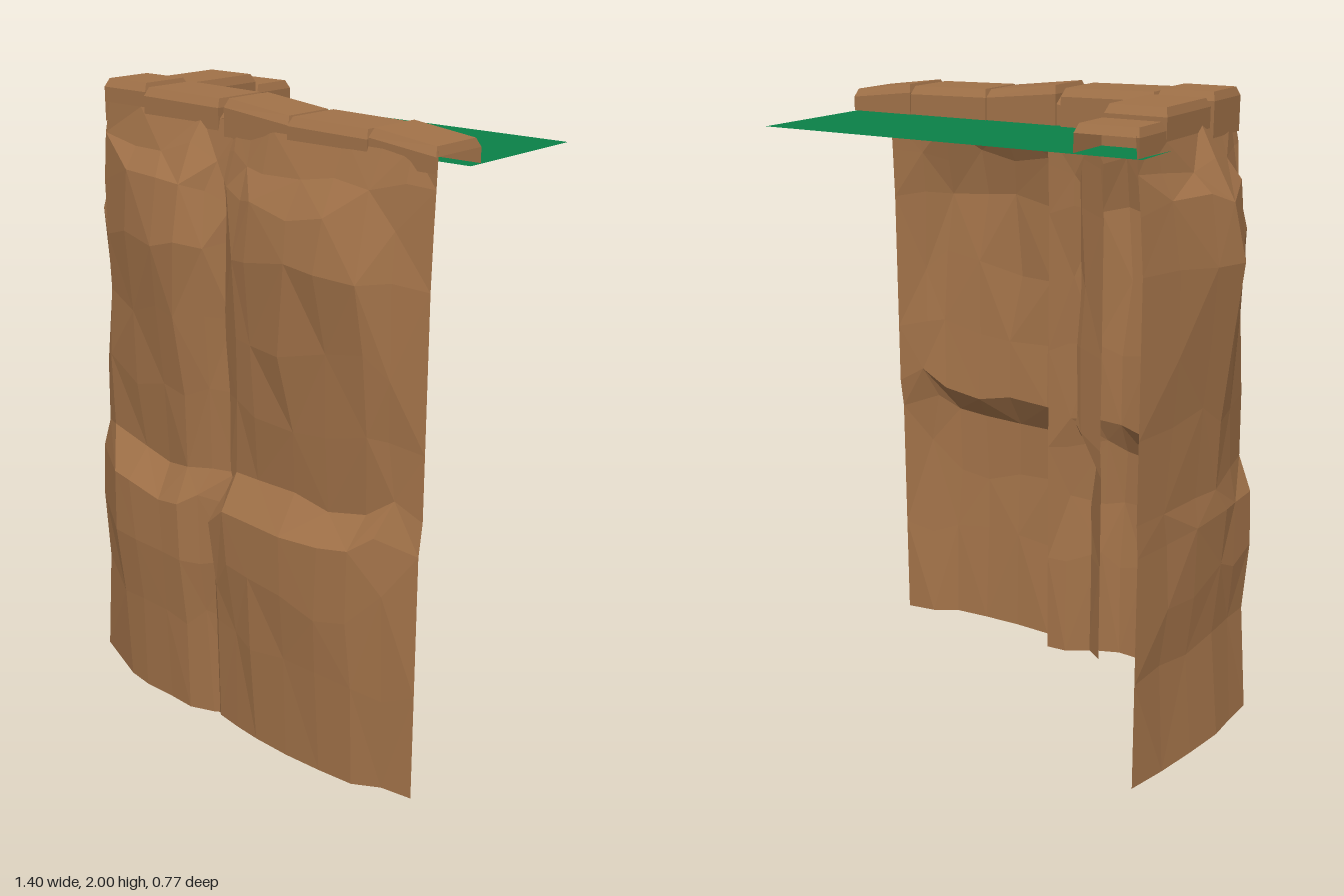
import * as THREE from 'three';

const rock = new THREE.MeshStandardMaterial({ color: 0xa07148, flatShading: true, side: THREE.DoubleSide });
rock.name = 'brown rock';
const grass = new THREE.MeshStandardMaterial({ color: 0x0a8048, side: THREE.DoubleSide });
grass.name = 'green grass';

// Columns of the rock sheets:
// foot x, z | neck x, z | rim x, z | ledge height | upper bulge
const sideColumns = [
  [-0.575, -0.39, -0.57, -0.39, -0.54, -0.39, 0.85, 0.01],
  [-0.60, -0.26, -0.60, -0.26, -0.54, -0.27, 0.85, 0.02],
  [-0.63, -0.12, -0.62, -0.12, -0.54, -0.12, 0.85, 0.05],
  [-0.655, 0.02, -0.64, -0.01, -0.54, 0.00, 0.86, 0.06],
  [-0.655, 0.12, -0.63, 0.10, -0.54, 0.12, 0.87, 0.02],
  [-0.66, 0.23, -0.605, 0.21, -0.545, 0.20, 0.87, 0.00],
];
const cornerFrontColumns = [
  [-0.45, 0.355, -0.545, 0.27, -0.54, 0.235, 0.88, 0.00],
  [-0.36, 0.37, -0.38, 0.29, -0.40, 0.235, 0.87, 0.05],
  [-0.24, 0.37, -0.25, 0.305, -0.26, 0.235, 0.84, 0.065],
  [-0.15, 0.375, -0.15, 0.32, -0.14, 0.235, 0.85, 0.06],
  [-0.07, 0.345, -0.07, 0.305, -0.06, 0.235, 0.88, 0.02],
  [0.02, 0.29, 0.02, 0.27, 0.02, 0.235, 0.86, 0.00],
  [0.09, 0.25, 0.09, 0.25, 0.09, 0.235, 0.86, 0.00],
];
const endFrontColumns = [
  [-0.11, 0.26, -0.11, 0.25, -0.08, 0.235, 0.78, 0.00],
  [-0.04, 0.345, -0.03, 0.28, 0.00, 0.235, 0.82, 0.00],
  [0.05, 0.36, 0.05, 0.30, 0.06, 0.235, 0.88, 0.02],
  [0.14, 0.37, 0.13, 0.305, 0.13, 0.24, 0.88, 0.04],
  [0.27, 0.375, 0.27, 0.305, 0.27, 0.24, 0.88, 0.06],
  [0.40, 0.37, 0.40, 0.30, 0.40, 0.24, 0.87, 0.06],
  [0.52, 0.36, 0.53, 0.29, 0.53, 0.24, 0.89, 0.06],
  [0.60, 0.315, 0.60, 0.28, 0.62, 0.235, 0.95, 0.02],
  [0.70, 0.265, 0.70, 0.25, 0.70, 0.235, 0.90, 0.00],
];

let seed = 7;
const jitter = (amount) => {
  seed = (seed * 16807) % 2147483647;
  return (seed / 2147483647 - 0.5) * 2 * amount;
};

function makeGeometry(points, index) {
  const g = new THREE.BufferGeometry();
  g.setAttribute('position', new THREE.Float32BufferAttribute(points, 3));
  g.setIndex(index);
  const flat = g.toNonIndexed();
  flat.computeVertexNormals();
  return flat;
}

// Sheet of rock: a swollen foot, a sloping ledge, then a bulging upper face
function rockSheet(columns, sideCount) {
  const points = [], index = [];
  const last = columns.length - 1;
  let rows = 0;
  columns.forEach(([bx, bz, nx, nz, tx, tz, ledge, up], i) => {
    const side = i < sideCount;
    const end = i === 0 || i === last;
    // each row: height, foot weight, neck weight, rim weight, outward push
    const profile = [
      [0.005, 1, 0, 0, side || end ? 0.01 : -0.035],
      [0.35, 1, 0, 0, -0.015],
      [ledge - 0.3, 1, 0, 0, 0],
      [ledge - 0.1, 1, 0, 0, 0],
      [ledge, 0, 1, 0, 0],
      [1.1, 0, 1, 0, up * 0.3],
      [1.34, 0, 1, 0, up * 0.7],
      [1.56, 0, 1, 0, up],
      [1.72, 0, 0.65, 0.35, up * 0.9],
      [1.83, 0, 0.3, 0.7, up * 0.4],
      [1.93, 0, 0, 1, 0],
    ];
    rows = profile.length;
    profile.forEach(([y, f, n, t, push], j) => {
      const rough = end || j === 0 || j === rows - 1 ? 0 : 1;
      const out = end ? 0 : push + jitter(0.008) * rough;
      const slide = jitter(0.018) * rough;
      points.push(
        f * bx + n * nx + t * tx + (side ? -out : slide),
        y + jitter(j === 4 || j === 3 ? 0.012 : 0.035) * rough,
        f * bz + n * nz + t * tz + (side ? slide : out));
    });
  });
  for (let i = 0; i < last; i++) {
    for (let j = 0; j < rows - 1; j++) {
      const a = i * rows + j, b = a + rows, c = b + 1, d = a + 1;
      if ((i + j) % 2) index.push(a, b, c, a, c, d);
      else index.push(a, b, d, b, c, d);
    }
  }
  return makeGeometry(points, index);
}

// Hollow capping stone with bevelled top; heights are given at its low-x and high-x ends.
// openSide leaves one wall out: 2 is the high-x end, 3 the back
function capStone(x0, x1, z0, z1, h0, h1, openSide) {
  const points = [], index = [];
  const ring = (insetX, insetZ, height) => {
    for (const [x, z, h] of [[x0, z0, h0], [x0, z1, h0], [x1, z1, h1], [x1, z0, h1]]) {
      points.push(x + (x === x0 ? insetX : -insetX), height(h), z + (z === z0 ? insetZ : -insetZ));
    }
  };
  ring(0, 0, () => 1.872);
  ring(0, 0, (h) => h - 0.025);
  ring(0.009, 0.014, (h) => h);
  for (let r = 0; r < 2; r++) {
    for (let k = 0; k < 4; k++) {
      if (r === 0 && k === openSide) continue;
      const a = r * 4 + k, b = r * 4 + (k + 1) % 4;
      index.push(a, b, b + 4, a, b + 4, a + 4);
    }
  }
  index.push(8, 9, 10, 8, 10, 11);
  return makeGeometry(points, index);
}

export function createModel() {
  const model = new THREE.Group();
  model.name = 'cliffCorner';
  const add = (name, geometry, material, parent = model) => {
    const mesh = new THREE.Mesh(geometry, material);
    mesh.name = name;
    parent.add(mesh);
    return mesh;
  };

  // Two overlapping sheets: one wraps the corner, the other finishes the front
  add('cornerWall', rockSheet([...sideColumns, ...cornerFrontColumns], sideColumns.length), rock);
  add('frontWall', rockSheet(endFrontColumns, 0), rock);

  // Stones along the rim
  const stones = new THREE.Group();
  stones.name = 'rimStones';
  model.add(stones);
  [
    [-0.55, -0.355, -0.388, -0.23, 1.95, 1.95, 3],
    [-0.55, -0.36, -0.228, 0.05, 1.985, 1.985],
    [-0.56, -0.38, 0.052, 0.235, 2.0, 2.0],
    [-0.378, -0.07, 0.042, 0.242, 1.99, 1.985],
    [-0.07, -0.045, 0.06, 0.235, 1.955, 1.96],
    [-0.045, 0.20, 0.055, 0.245, 1.99, 1.965],
    [0.20, 0.48, 0.05, 0.25, 1.965, 1.96],
    [0.48, 0.70, 0.045, 0.245, 1.965, 1.94, 2],
  ].forEach((s) => add('rimStone', capStone(...s), rock, stones));

  // Flat ground on top, tucked under the stones
  const outline = [[-0.56, -0.39], [0.7, -0.39], [0.7, 0.09], [-0.05, 0.1], [-0.1, 0.2], [-0.55, 0.2]];
  const ground = new THREE.ShapeGeometry(new THREE.Shape(outline.map(([x, z]) => new THREE.Vector2(x, -z))));
  ground.rotateX(-Math.PI / 2);
  add('grassTop', ground, grass).position.y = 1.87;

  return model;
}
